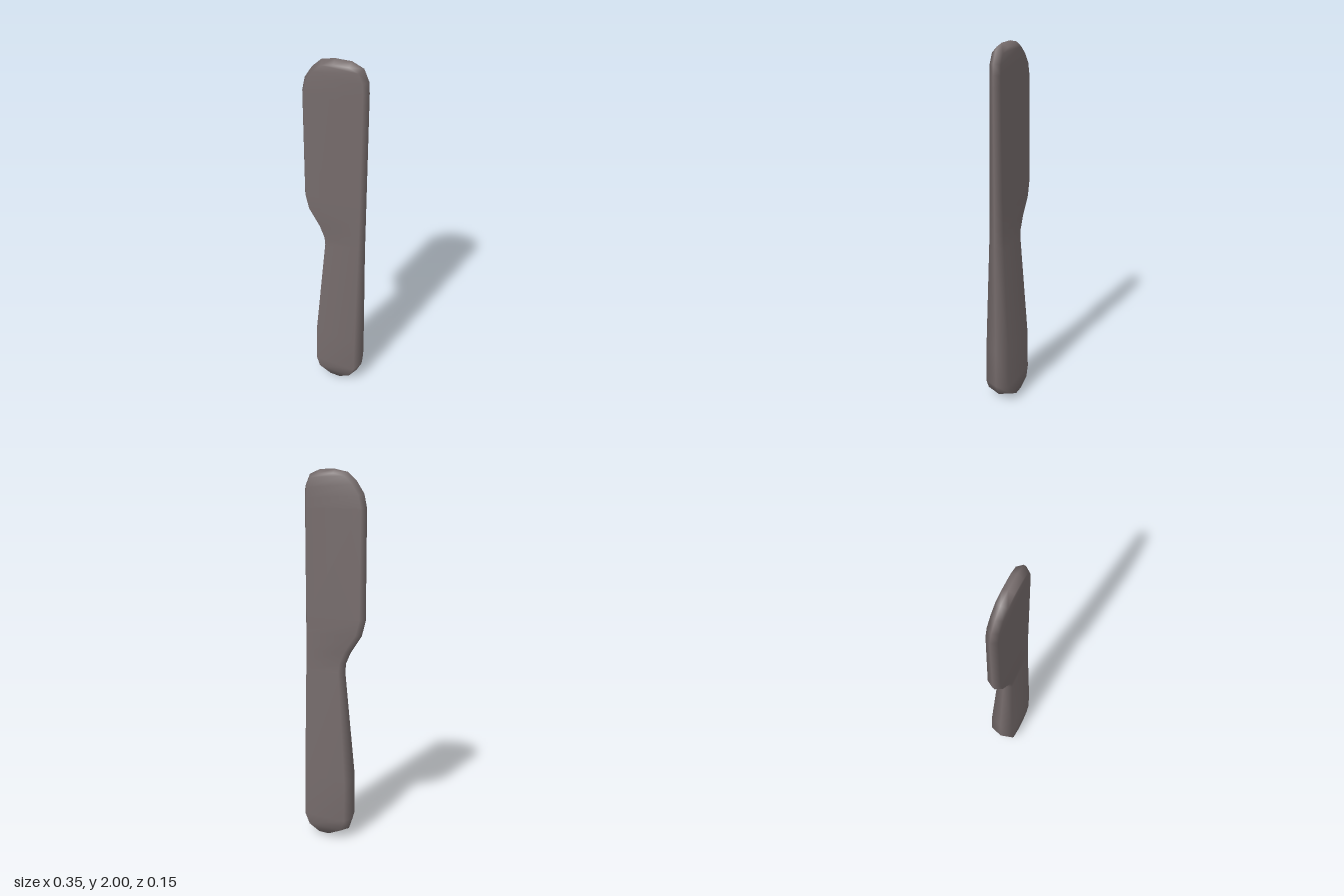
import * as THREE from 'three';

// Outline from bottom to top: spine edge (+x) and cutting edge (-x), paired row by row
const SPINE = [
  [0.07, 0], [0.143, 0.04], [0.175, 0.11], [0.175, 0.34], [0.175, 0.95], [0.175, 1.0], [0.175, 1.06],
  [0.175, 1.155], [0.175, 1.24], [0.175, 1.81], [0.175, 1.86], [0.172, 1.915], [0.145, 1.975], [0.085, 2],
];
const EDGE = [
  [0, 0], [-0.085, 0.04], [-0.108, 0.11], [-0.108, 0.34], [-0.058, 0.95], [-0.064, 1.0], [-0.09, 1.06],
  [-0.153, 1.155], [-0.175, 1.24], [-0.175, 1.81], [-0.16, 1.88], [-0.12, 1.94], [-0.07, 1.985], [0, 2],
];
// Half thickness by height: thick handle tapering to a thin blade
const TAPER = [[0, 0.074], [0.34, 0.069], [1.0, 0.042], [1.24, 0.037], [2, 0.029]];
const BEVEL = 0.021;

function halfThickness(y) {
  const k = Math.max(1, TAPER.findIndex((p) => p[0] >= y));
  const [y0, t0] = TAPER[k - 1];
  const [y1, t1] = TAPER[k];
  return THREE.MathUtils.mapLinear(y, y0, y1, t0, t1);
}

// Moves every outline point inward by the bevel width
function inset(points) {
  const n = points.length;
  return points.map((p, i) => {
    const a = p.clone().sub(points[(i + n - 1) % n]).normalize();
    const b = points[(i + 1) % n].clone().sub(p).normalize();
    const m = new THREE.Vector2(-a.y - b.y, a.x + b.x).normalize();
    const cos = m.dot(new THREE.Vector2(-a.y, a.x));
    return p.clone().addScaledVector(m, BEVEL / cos);
  });
}

function knifeGeometry() {
  const rim = [...SPINE, ...[...EDGE].reverse()].map(([x, y]) => new THREE.Vector2(x, y));
  const face = inset(rim);
  const n = rim.length;
  const positions = [];
  rim.forEach((p) => positions.push(p.x, p.y, 0));
  for (const side of [1, -1]) {
    face.forEach((p) => positions.push(p.x, p.y, side * halfThickness(p.y)));
  }

  const index = [];
  const quad = (a, b, c, d) => index.push(a, b, c, a, c, d);
  // Bevels running all the way round, front and back
  for (let i = 0; i < n; i++) {
    const j = (i + 1) % n;
    quad(i, j, n + j, n + i);
    quad(j, i, 2 * n + i, 2 * n + j);
  }
  // Broad front and back faces
  for (let i = 0; i < SPINE.length - 1; i++) {
    const l = n - 1 - i;
    quad(n + l, n + i, n + i + 1, n + l - 1);
    quad(2 * n + i, 2 * n + l, 2 * n + l - 1, 2 * n + i + 1);
  }

  const geometry = new THREE.BufferGeometry();
  geometry.setAttribute('position', new THREE.Float32BufferAttribute(positions, 3));
  geometry.setIndex(index);
  geometry.computeVertexNormals();
  return geometry;
}

export function createModel() {
  const group = new THREE.Group();
  group.name = 'butterKnife';
  const material = new THREE.MeshStandardMaterial({ color: 0x756b6b });
  material.name = 'warm grey';
  const knife = new THREE.Mesh(knifeGeometry(), material);
  knife.name = 'bladeAndHandle';
  group.add(knife);
  return group;
}
